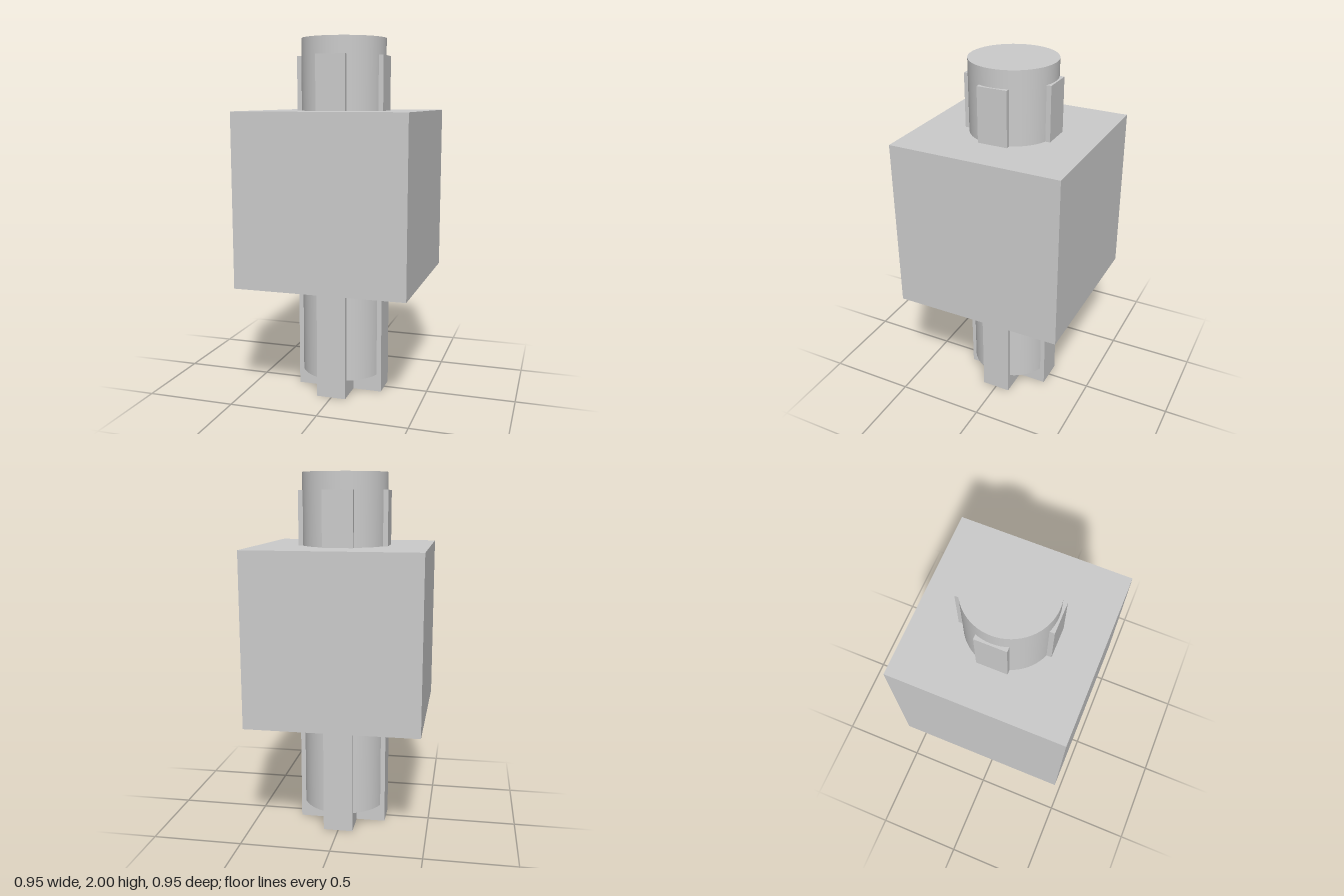
import * as THREE from 'three';

const material = new THREE.MeshStandardMaterial({ color: 0xcccccc });

function addPart(group, name, geometry, y) {
  const mesh = new THREE.Mesh(geometry, material);
  mesh.name = name;
  mesh.position.y = y;
  group.add(mesh);
}

// Plus-shaped prism standing on y = 0
function crossPrism(arm, halfWidth, height) {
  const points = [];
  for (let i = 0; i < 4; i++) {
    const turn = i * Math.PI / 2;
    for (const [x, y] of [[halfWidth, halfWidth], [halfWidth, arm], [-halfWidth, arm]]) {
      points.push(new THREE.Vector2(x, y).rotateAround(new THREE.Vector2(), turn));
    }
  }
  const geometry = new THREE.ExtrudeGeometry(new THREE.Shape(points), { depth: height, bevelEnabled: false });
  return geometry.rotateX(-Math.PI / 2);
}

export function createModel() {
  const model = new THREE.Group();
  model.name = 'blockOnAxle';

  // Cubic block around the middle
  addPart(model, 'block', new THREE.BoxGeometry(0.95, 0.95, 0.95), 1.13);

  // Round core, raised above the foot and proud of the ribs at the top
  addPart(model, 'roundCore', new THREE.CylinderGeometry(0.237, 0.237, 1.9, 64), 1.05);

  // Cross-shaped axle whose four arms show as ribs
  addPart(model, 'crossAxle', crossPrism(0.248, 0.083, 1.905), 0);

  return model;
}
